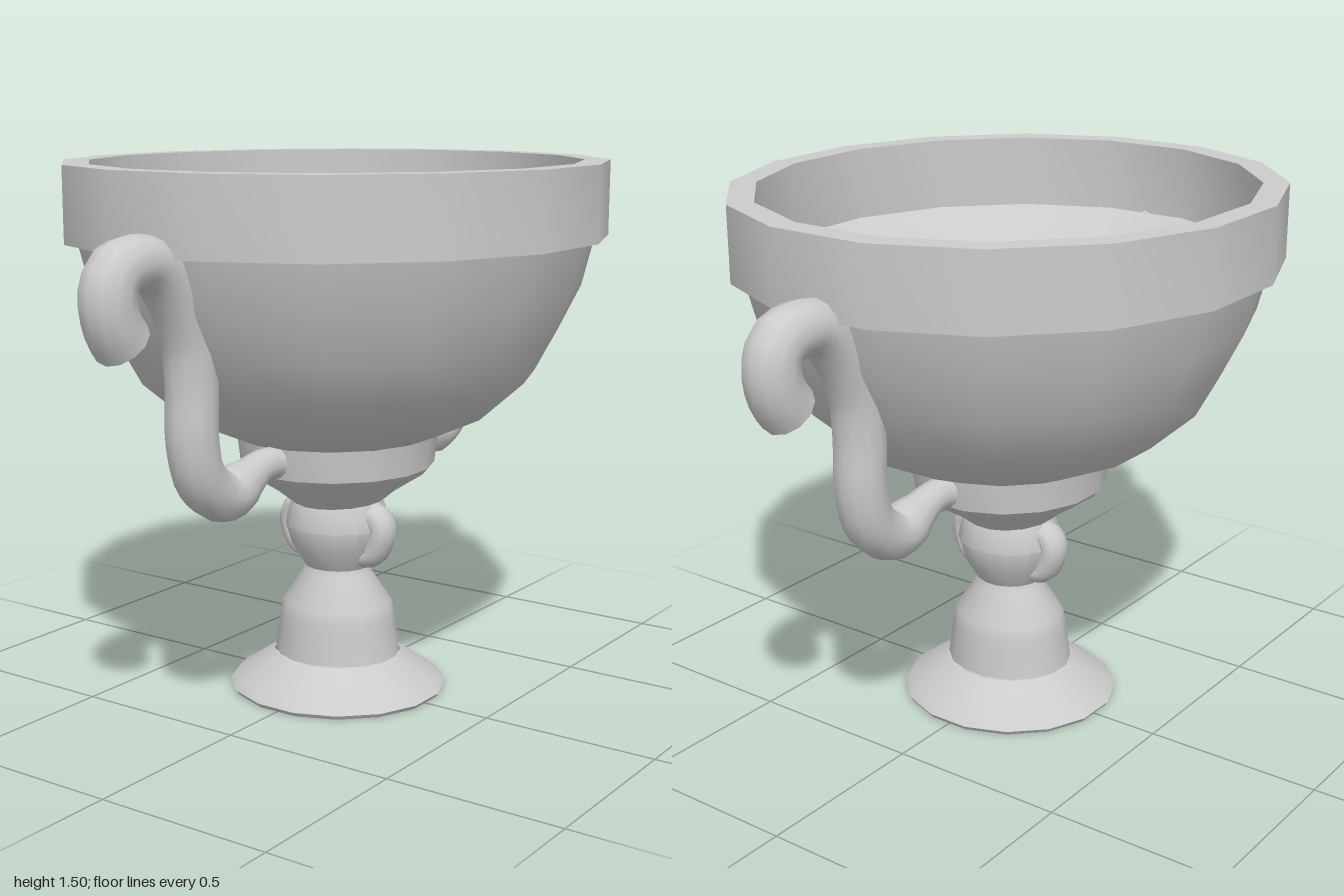
import * as THREE from 'three';
import { toCreasedNormals } from 'three/addons/utils/BufferGeometryUtils.js';

const SIDES = 16;
const material = new THREE.MeshStandardMaterial({ color: 0xcccccc, side: THREE.DoubleSide });

// Sixteen-sided turned part; points are [half width, height], slightly oval through zScale
function turned(name, points, zScale) {
  const k = 1 / Math.cos(Math.PI / SIDES);
  const profile = points.map(([r, y]) => new THREE.Vector2(r * k, y));
  const geometry = new THREE.LatheGeometry(profile, SIDES, Math.PI / SIDES);
  geometry.scale(1, 1, zScale);
  const mesh = new THREE.Mesh(toCreasedNormals(geometry, 0.6), material);
  mesh.name = name;
  return mesh;
}

// Round bar along a path in the z-y plane, with a radius rule and closed ends
function bar(name, points, radiusAt, segments, sides) {
  const path = new THREE.CatmullRomCurve3(points.map(([z, y]) => new THREE.Vector3(0, y, z)));
  const geometry = new THREE.TubeGeometry(path, segments, 1, sides);
  const pos = geometry.attributes.position;
  const v = new THREE.Vector3();
  for (let i = 0; i <= segments; i++) {
    const centre = path.getPointAt(i / segments);
    const r = i === 0 || i === segments ? 0.0005 : radiusAt(i / segments);
    for (let j = 0; j <= sides; j++) {
      const n = i * (sides + 1) + j;
      v.fromBufferAttribute(pos, n).sub(centre).multiplyScalar(r).add(centre);
      pos.setXYZ(n, v.x, v.y, v.z);
    }
  }
  const mesh = new THREE.Mesh(toCreasedNormals(geometry, 0.75), material);
  mesh.name = name;
  return mesh;
}

export function createModel() {
  const model = new THREE.Group();
  model.name = 'trophyCup';

  // Flared foot and lower stem
  model.add(turned('foot', [
    [0, 0], [0.3, 0], [0.308, 0.012], [0.29, 0.03], [0.18, 0.105],
  ], 0.97));
  model.add(turned('lowerStem', [
    [0.18, 0.105], [0.168, 0.19], [0.165, 0.22], [0.157, 0.255], [0.1, 0.34], [0.093, 0.36],
  ], 0.92));

  // Knob, and the collar under the bowl
  model.add(turned('knob', [
    [0.093, 0.36], [0.13, 0.42], [0.147, 0.48], [0.135, 0.535], [0.125, 0.56],
  ], 0.96));
  model.add(turned('collar', [
    [0.11, 0.54], [0.135, 0.56], [0.17, 0.59], [0.25, 0.643], [0.265, 0.66], [0.275, 0.752],
  ], 1.05));

  // Bowl with a shallow dished inside, and the thick rim band
  model.add(turned('bowl', [
    [0, 0.75], [0.28, 0.75], [0.41, 0.81], [0.53, 0.92], [0.59, 1.035], [0.65, 1.16], [0.685, 1.305],
  ], 1.07));
  model.add(turned('rim', [
    [0.65, 1.3], [0.718, 1.3], [0.718, 1.505], [0.65, 1.505], [0.65, 1.3],
  ], 1.07));
  const dish = [];
  for (let i = 0; i <= 6; i++) {
    const t = 1 - i / 6;
    dish.push([0.65 * t, 1.14 + 0.16 * t * t]);
  }
  model.add(turned('bowlInside', dish, 1.07));

  // Two scrolled handles, front and back
  const scroll = [
    [0.868, 1.088], [0.915, 1.15], [0.932, 1.22], [0.91, 1.275], [0.85, 1.293], [0.78, 1.285],
    [0.72, 1.23], [0.65, 1.09], [0.635, 0.97], [0.635, 0.82], [0.605, 0.725],
    [0.516, 0.662], [0.43, 0.685], [0.36, 0.71], [0.27, 0.71],
  ];
  const handleRadius = (t) => {
    if (t < 0.25) return 0.074 - 0.02 * t;
    if (t < 0.85) return 0.069;
    return 0.069 - 0.024 * Math.sin(Math.min((t - 0.85) / 0.09, 1) * Math.PI / 2);
  };
  for (const [name, turn] of [['frontHandle', 0], ['backHandle', Math.PI]]) {
    const handle = bar(name, scroll, handleRadius, 48, 12);
    handle.rotation.y = turn;
    model.add(handle);
  }

  // Small ear-shaped lugs on either side of the knob
  const lugPath = [[0.09, 0.52], [0.135, 0.515], [0.155, 0.485], [0.14, 0.43], [0.12, 0.405], [0.07, 0.4]];
  for (const side of [1, -1]) {
    const lug = bar(side > 0 ? 'leftLug' : 'rightLug', lugPath, () => 0.037, 14, 10);
    lug.rotation.y = side * Math.PI / 2;
    lug.scale.x = 1.3;
    model.add(lug);
  }
  return model;
}
